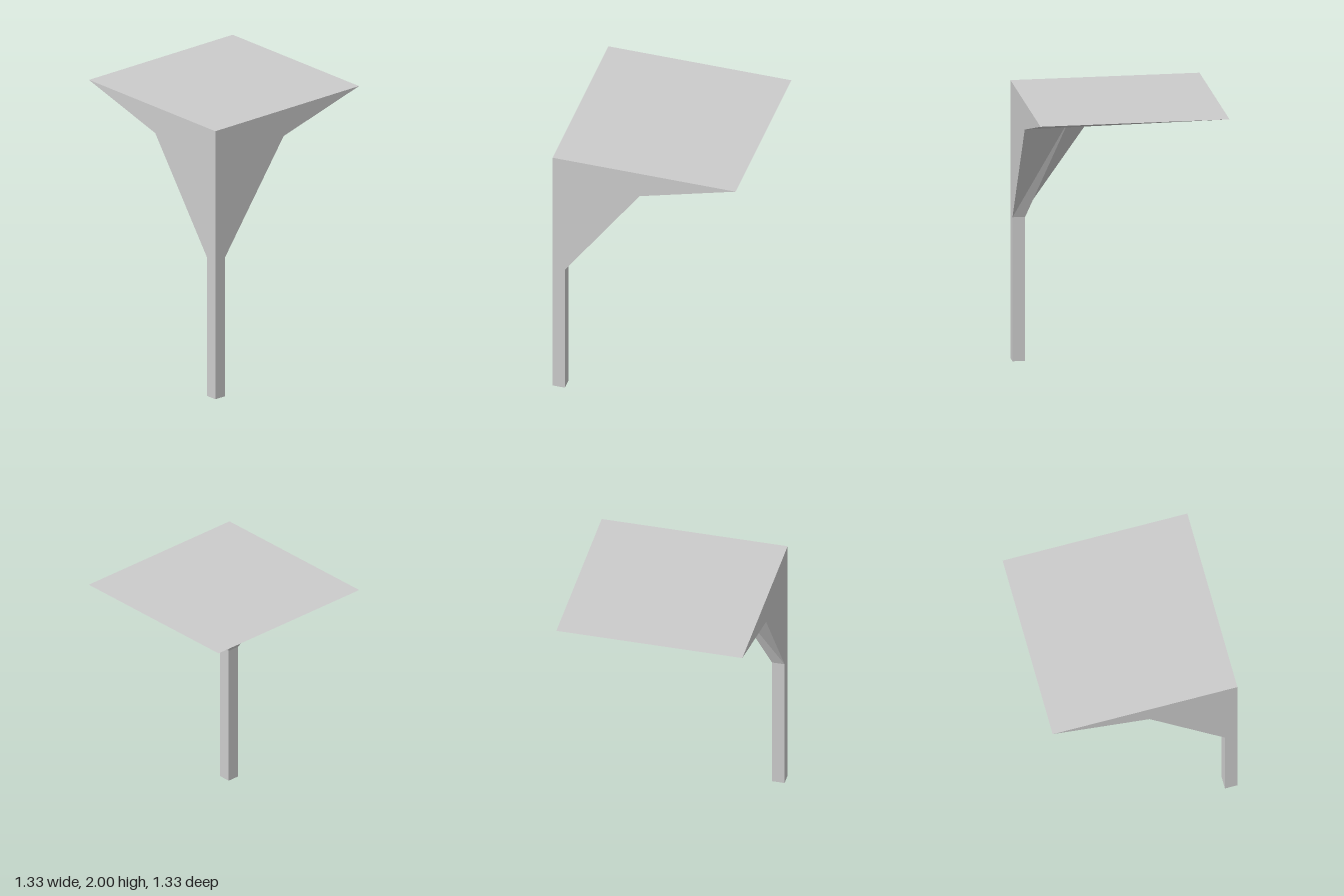
import * as THREE from 'three';

const HALF = 0.667;

// Four-cornered section anchored at the front corner of the model.
// arm: reach along the two straight outer walls, inner: reach of the inner corner.
// Corners run counter-clockwise seen from above.
function section(y, arm, inner) {
  return [[0, 0], [arm, 0], [inner, inner], [0, arm]]
    .map(([u, v]) => [-HALF + u, y, HALF - v]);
}

// Joins two sections with walls, optionally closing the bottom or the top.
// The diagonals mirror about the corner-to-corner symmetry plane.
function loft(name, lo, hi, { bottom = false, top = false } = {}) {
  const tris = [];
  for (let i = 0; i < 4; i++) {
    const j = (i + 1) % 4;
    if (i < 2) tris.push(lo[i], lo[j], hi[j], lo[i], hi[j], hi[i]);
    else tris.push(lo[i], lo[j], hi[i], lo[j], hi[j], hi[i]);
  }
  if (bottom) tris.push(lo[0], lo[2], lo[1], lo[0], lo[3], lo[2]);
  if (top) tris.push(hi[0], hi[1], hi[2], hi[0], hi[2], hi[3]);

  const geometry = new THREE.BufferGeometry();
  geometry.setAttribute('position', new THREE.Float32BufferAttribute(tris.flat(), 3));
  geometry.computeVertexNormals();
  const material = new THREE.MeshStandardMaterial({ color: 0xcccccc, flatShading: true });
  const mesh = new THREE.Mesh(geometry, material);
  mesh.name = name;
  return mesh;
}

export function createModel() {
  const group = new THREE.Group();
  group.name = 'cornerPostWithCanopy';

  const foot = section(0, 0.09, 0.09);
  const postTop = section(1.036, 0.09, 0.09);
  const braceTop = section(1.804, 0.634, 0.363);
  const slab = section(2, 2 * HALF, 2 * HALF);

  group.add(
    loft('post', foot, postTop, { bottom: true }),  // slim square post
    loft('brace', postTop, braceTop),               // flaring corner brace
    loft('canopy', braceTop, slab, { top: true })   // sloped underside and flat square top
  );
  return group;
}
